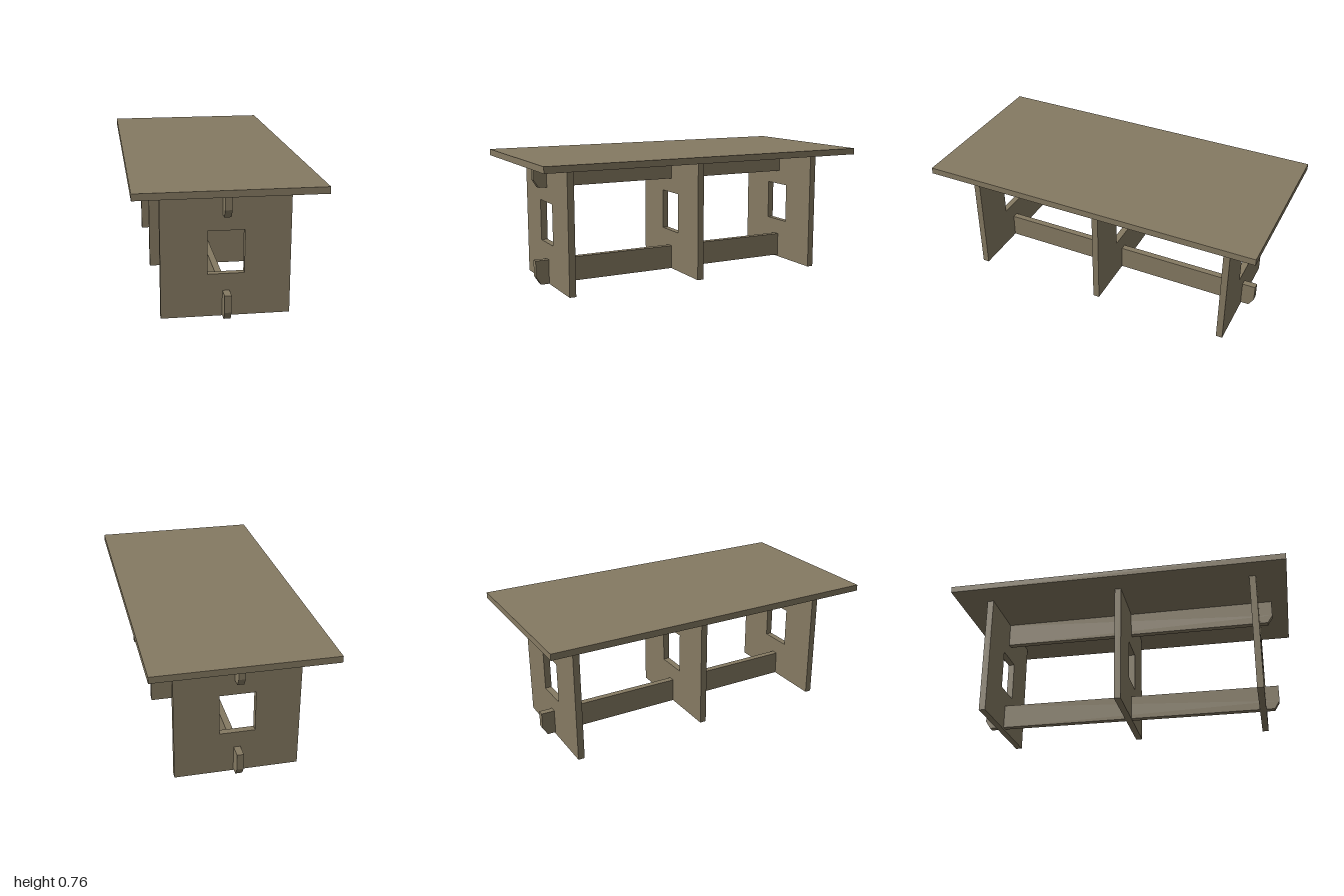
import * as THREE from 'three';

export function createModel() {
  const table = new THREE.Group();
  table.name = 'trestleTable';
  const wood = new THREE.MeshStandardMaterial({ color: 0x857a62 });

  const add = (name, geometry, x, y, z) => {
    const mesh = new THREE.Mesh(geometry, wood);
    mesh.name = name;
    mesh.position.set(x, y, z);
    table.add(mesh);
  };
  const polygon = (points) => new THREE.Shape(points.map(([x, y]) => new THREE.Vector2(x, y)));
  // Extrude centred on its thickness
  const slab = (shape, depth) =>
    new THREE.ExtrudeGeometry(shape, { depth, bevelEnabled: false }).translate(0, 0, -depth / 2);

  // Table top
  add('tableTop', new THREE.BoxGeometry(1, 0.037, 2), 0, 0.7385, 0);

  // Upright panels with a square window; the rear one reaches slightly lower
  const panel = (bottom) => {
    const shape = polygon([[-0.35, bottom], [0.35, bottom], [0.35, 0.72], [-0.35, 0.72]]);
    shape.holes.push(polygon([[-0.1, 0.25], [-0.1, 0.49], [0.1, 0.49], [0.1, 0.25]]));
    return slab(shape, 0.038);
  };
  add('frontPanel', panel(0.01), 0, 0, 0.802);
  add('middlePanel', panel(0.01), 0, 0, 0);
  add('rearPanel', panel(0), 0, 0, -0.802);

  // Long rails with chamfered lower ends, passing through the panels
  const rail = slab(polygon([
    [-0.87, 0], [0.87, 0], [0.9, 0.047], [0.9, 0.143], [-0.9, 0.143], [-0.9, 0.047],
  ]), 0.038).rotateY(-Math.PI / 2);
  add('upperRail', rail, 0, 0.577, 0);
  add('lowerRail', rail, 0, 0.011, 0);

  return table;
}
